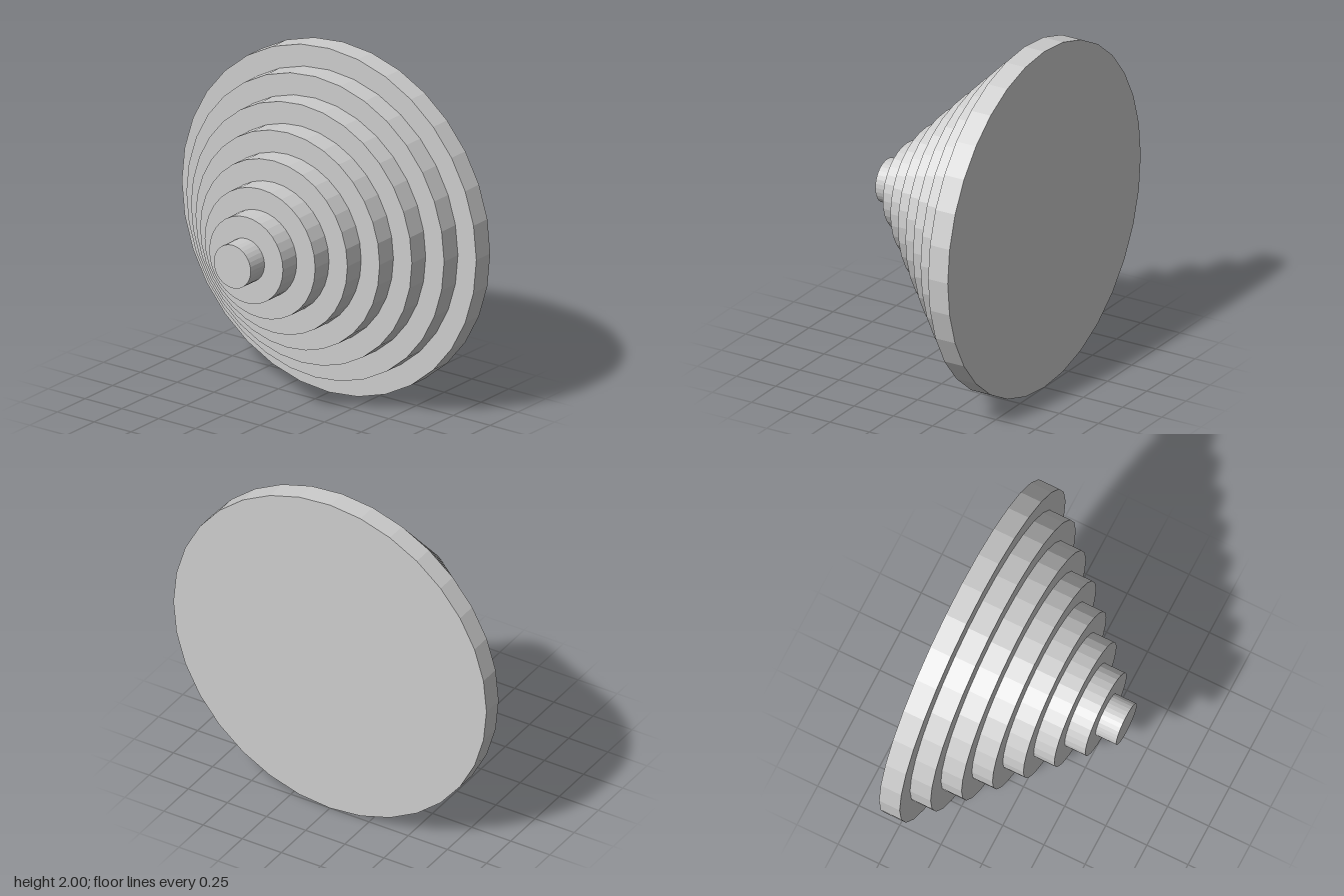
import * as THREE from 'three';

export function createModel() {
  const group = new THREE.Group();
  group.name = 'steppedCone';
  const grey = new THREE.MeshStandardMaterial({ color: 0xcccccc, flatShading: true });
  grey.name = 'light grey';

  // Eight equal-thickness discs stacked along x, widening towards +x
  const steps = 8;
  const thickness = 1 / steps;
  for (let i = 0; i < steps; i++) {
    const radius = (i + 1) / steps;
    const geometry = new THREE.CylinderGeometry(radius, radius, thickness, 32);
    geometry.rotateZ(-Math.PI / 2);
    const disc = new THREE.Mesh(geometry, grey);
    disc.name = `disc${i + 1}`;
    disc.position.set(-0.5 + (i + 0.5) * thickness, 1, 0);
    group.add(disc);
  }
  return group;
}
